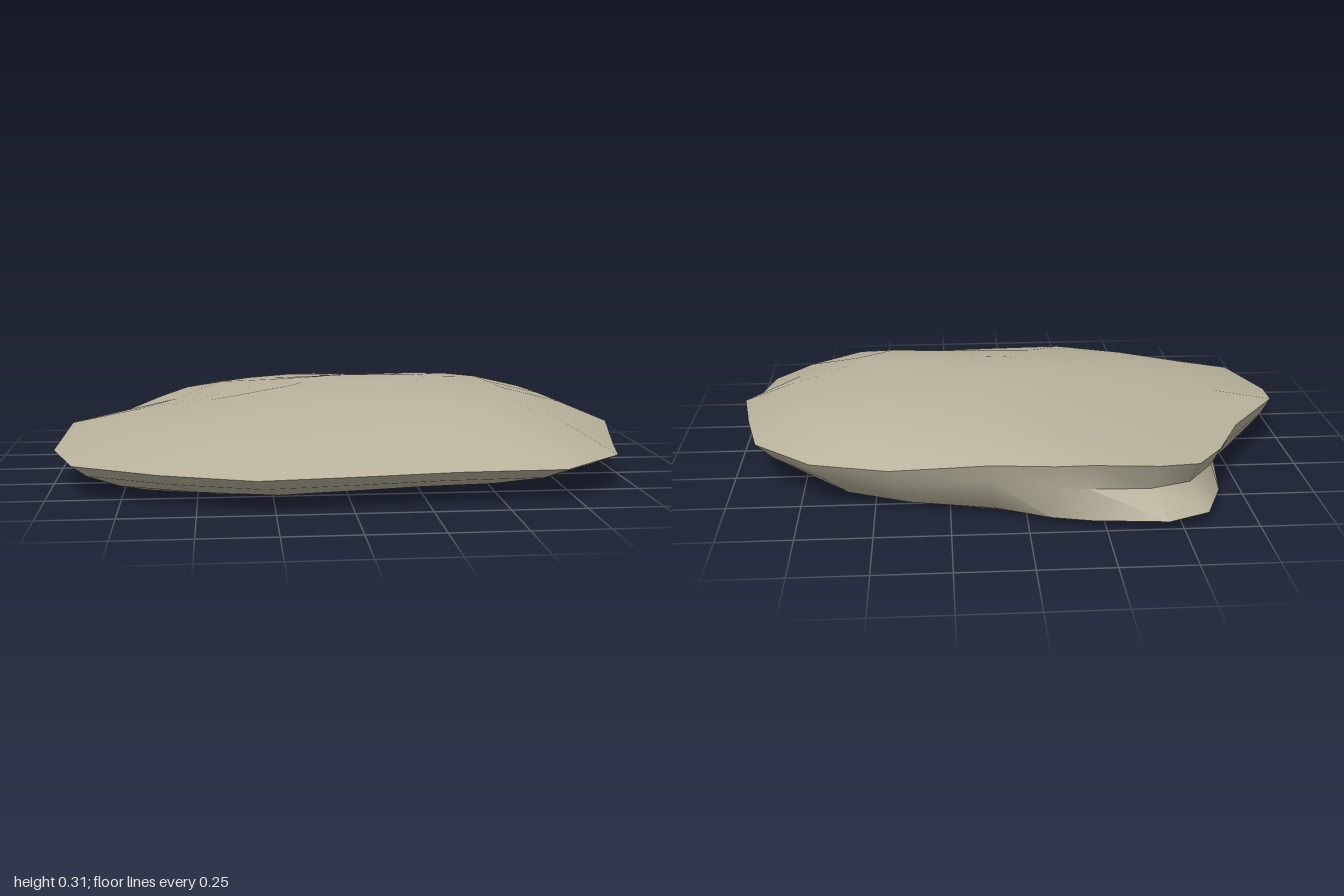
import * as THREE from 'three';
import { toCreasedNormals } from 'three/addons/utils/BufferGeometryUtils.js';

const { lerp, smoothstep } = THREE.MathUtils;

// Rim outline as x, z, counterclockwise from above
const outline = [
  [1, 0.1], [0.96, -0.13], [0.91, -0.35], [0.71, -0.54], [0.45, -0.63], [0.12, -0.68],
  [-0.08, -0.74], [-0.2, -0.74], [-0.42, -0.72], [-0.56, -0.67], [-0.66, -0.52], [-0.77, -0.28],
  [-0.96, -0.02], [-1, 0.23], [-0.91, 0.5], [-0.62, 0.66], [-0.31, 0.77], [0, 0.74],
  [0.34, 0.7], [0.7, 0.69], [0.93, 0.48], [0.97, 0.3],
];
const summit = [0.15, 0.307, -0.05];
const bump = (x, centre, width) => Math.exp(-(((x - centre) / width) ** 2));

// Shape rules for one rim point
const rimHeight = (x, z) =>
  lerp(0.115, 0.166, smoothstep(-z, -0.22, -0.08)) + 0.06 * smoothstep(-z, 0, 0.7) * bump(x, -0.15, 0.45);
const crownHeight = (x, z) => 0.262 + 0.024 * x - 0.018 * z;
const baseScale = (x, z) => 0.73 - 0.1 * x - 0.16 * z;
const undercut = (x, z) => bump(x, -0.45, 0.3) * smoothstep(-z, 0.2, 0.6);

// Points from the summit over the rim and under to the base
function section([x, z]) {
  const rim = rimHeight(x, z), crown = crownHeight(x, z);
  const base = baseScale(x, z), cut = undercut(x, z);
  const above = (t, y) => [lerp(summit[0], x, t), y, lerp(summit[2], z, t)];
  const below = (s, y) => [x * s, y, z * s];
  return [
    above(0.28, lerp(summit[1], crown, 0.26)),
    above(0.55, crown),
    above(0.8, lerp(rim, crown, 0.58)),
    above(1, rim),
    below(lerp(0.8 + 0.2 * base, 0.95, cut), lerp(rim * 0.65, 0.115, cut)),
    below(lerp(0.35 + 0.65 * base, 1.07, cut), lerp(0.025, 0.035, cut)),
    below(base, 0),
  ];
}

function rockGeometry() {
  const sections = outline.map(section);
  const n = sections.length, rings = sections[0].length;
  const points = [summit, ...sections.flat(), [0, 0, 0]];
  const at = (ring, i) => 1 + (i % n) * rings + ring;

  // Skin: top fan, bands between rings, base fan
  const index = [];
  for (let i = 0; i < n; i++) {
    index.push(0, at(0, i), at(0, i + 1));
    for (let r = 0; r < rings - 1; r++) {
      const a = at(r, i), b = at(r + 1, i), c = at(r + 1, i + 1), d = at(r, i + 1);
      index.push(a, b, c, a, c, d);
    }
    index.push(at(rings - 1, i), points.length - 1, at(rings - 1, i + 1));
  }

  const geometry = new THREE.BufferGeometry();
  geometry.setAttribute('position', new THREE.Float32BufferAttribute(points.flat(), 3));
  geometry.setIndex(index);
  return toCreasedNormals(geometry, 0.75);
}

export function createModel() {
  const group = new THREE.Group();
  group.name = 'flatRock';
  const rock = new THREE.Mesh(rockGeometry(), new THREE.MeshStandardMaterial({ color: 0xb8b29c }));
  rock.name = 'rock';
  group.add(rock);
  return group;
}
